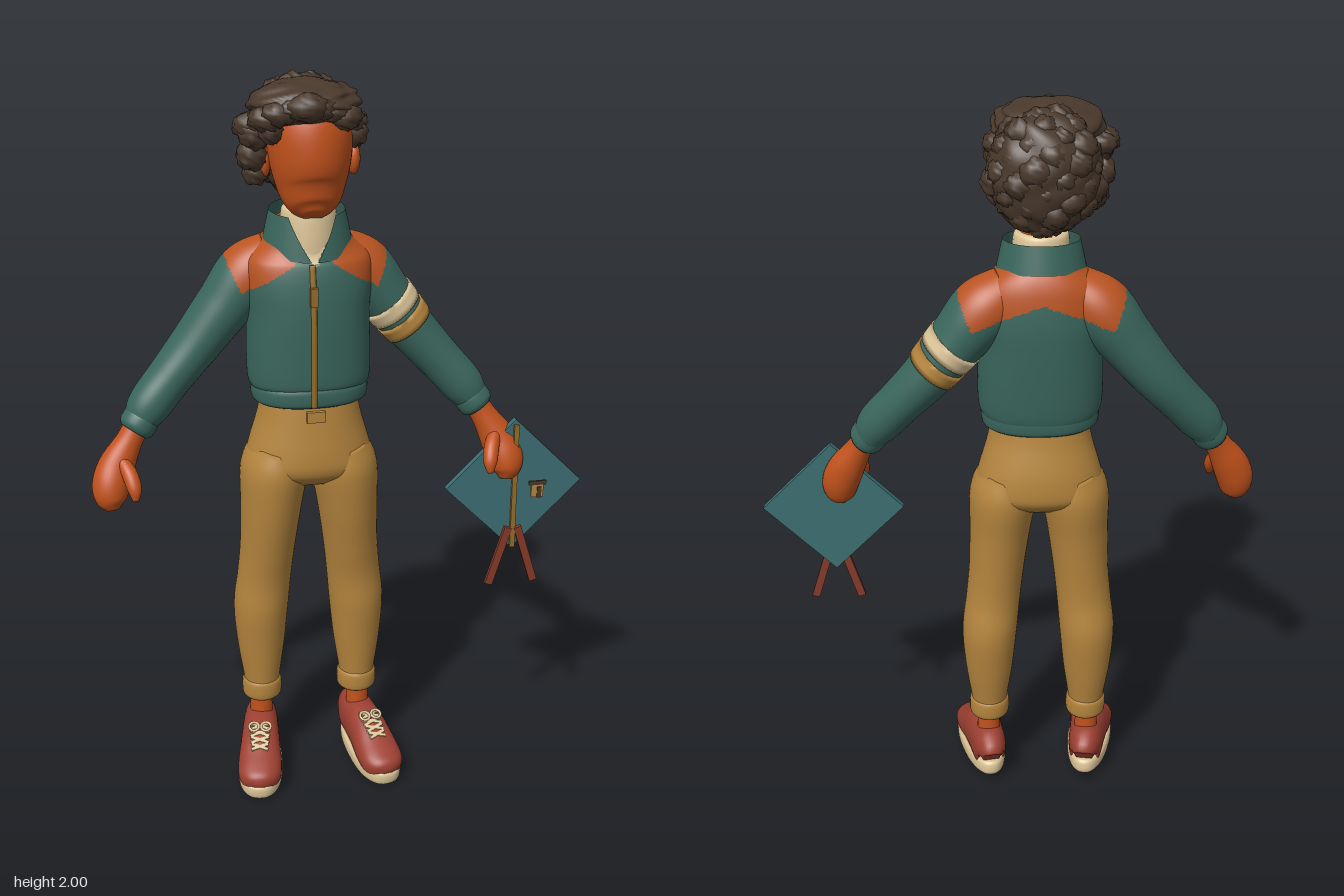
import * as THREE from 'three';
import { mergeVertices } from 'three/addons/utils/BufferGeometryUtils.js';

const material = (name, color, side = THREE.FrontSide) => Object.assign(new THREE.MeshStandardMaterial({ color, side }), { name });

export function createModel() {
  const teal = material('jacket teal', 0x3a665c, THREE.DoubleSide);
  const rust = material('yoke rust', 0xb95422);
  const skin = material('skin', 0xc2521c);
  const brown = material('hair brown', 0x4a392c);
  const tan = material('trouser tan', 0xb5853e);
  const cream = material('cream', 0xdcc598);
  const red = material('shoe red', 0x9e4032);
  const blue = material('board blue', 0x3d6f73);
  const gold = material('zip gold', 0x946c2c);
  const maroon = material('tail maroon', 0x853a2a);
  const Y = new THREE.Vector3(0, 1, 0), Z = new THREE.Vector3(0, 0, 1);

  const model = new THREE.Group();
  model.name = 'figure';
  const body = new THREE.Group();
  body.name = 'body';
  body.position.x = -0.085;
  model.add(body);

  const add = (name, geometry, mat, parent = body) => {
    const mesh = new THREE.Mesh(geometry, mat);
    mesh.name = name;
    parent.add(mesh);
    return mesh;
  };

  // Smooth skin through oval stations [x, y, z, radiusAcross, radiusDeep]
  function loft(stations, { ref = Z, along = 32, around = 32, pow = 2 } = {}) {
    const path = new THREE.CatmullRomCurve3(stations.map(s => new THREE.Vector3(s[0], s[1], s[2])), false, 'catmullrom');
    const size = new THREE.CatmullRomCurve3(stations.map(s => new THREE.Vector3(s[3], s[4], 0)), false, 'catmullrom');
    const pos = [], idx = [];
    const bend = v => Math.sign(v) * Math.abs(v) ** (2 / pow);
    for (let i = 0; i <= along; i++) {
      const t = i / along, c = path.getPoint(t), r = size.getPoint(t), T = path.getTangent(t);
      const across = T.clone().cross(ref).normalize(), deep = across.clone().cross(T);
      for (let j = 0; j < around; j++) {
        const a = j / around * Math.PI * 2;
        const p = c.clone().addScaledVector(across, bend(Math.cos(a)) * r.x).addScaledVector(deep, bend(Math.sin(a)) * r.y);
        pos.push(p.x, p.y, p.z);
        if (i === along) continue;
        const p0 = i * around + j, p1 = i * around + (j + 1) % around;
        idx.push(p0, p0 + around, p1, p1, p0 + around, p1 + around);
      }
    }
    const first = pos.length / 3, end = along * around;
    for (const s of [stations[0], stations.at(-1)]) pos.push(s[0], s[1], s[2]);
    for (let j = 0; j < around; j++) {
      const k = (j + 1) % around;
      idx.push(first, j, k, first + 1, end + k, end + j);
    }
    const g = new THREE.BufferGeometry();
    g.setAttribute('position', new THREE.Float32BufferAttribute(pos, 3));
    g.setIndex(idx);
    g.computeVertexNormals();
    return g;
  }

  // Sort faces into material groups by a rule on the face centre
  function paint(g, rule) {
    const p = g.attributes.position, src = g.index.array, bins = [[], [], []];
    for (let i = 0; i < src.length; i += 3) {
      const f = [src[i], src[i + 1], src[i + 2]];
      const mid = get => f.reduce((sum, v) => sum + get(v) / 3, 0);
      bins[rule(mid(v => p.getX(v)), mid(v => p.getY(v)), mid(v => p.getZ(v)))].push(...f);
    }
    g.setIndex(bins.flat());
    let start = 0;
    bins.forEach((b, m) => { g.addGroup(start, b.length, m); start += b.length; });
    return g;
  }
  const jacketColours = [teal, rust, cream];
  function jacketRule(x, y, z) {
    const d = Math.abs(x), front = z > -0.04;
    if (front && y > 1.52 && d < (y - 1.515) * 0.5) return 2;
    const low = 1.445 + (0.18 - Math.min(d, 0.18)) * (front ? 0.65 : 0.4);
    return y > low && d < 0.18 + (y - 1.44) * 0.42 && (!front || d > 0.05) ? 1 : 0;
  }

  // Jacket body, rib and zip
  add('jacketBody', paint(loft([
    [0, 1.17, -0.025, 0.15, 0.116], [0, 1.2, -0.027, 0.164, 0.125], [0, 1.28, -0.03, 0.166, 0.13],
    [0, 1.38, -0.033, 0.164, 0.133], [0, 1.46, -0.037, 0.172, 0.13], [0, 1.53, -0.04, 0.165, 0.118],
    [0, 1.58, -0.035, 0.115, 0.1], [0, 1.62, -0.03, 0.085, 0.085]], { along: 90, around: 120, pow: 2.3 }), jacketRule), jacketColours);
  add('jacketRib', loft([[0, 1.14, -0.025, 0.146, 0.112], [0, 1.15, -0.025, 0.156, 0.121],
    [0, 1.18, -0.025, 0.158, 0.123], [0, 1.195, -0.025, 0.15, 0.118]], { around: 64, along: 12, pow: 2.3 }), teal);
  add('zip', loft([[-0.006, 1.145, 0.096, 0.008, 0.007], [-0.006, 1.2, 0.099, 0.008, 0.006], [-0.006, 1.28, 0.101, 0.008, 0.006],
    [-0.006, 1.38, 0.101, 0.008, 0.006], [-0.006, 1.46, 0.094, 0.008, 0.006], [-0.006, 1.53, 0.08, 0.008, 0.006]], { around: 8 }), gold);
  add('zipPull', new THREE.BoxGeometry(0.02, 0.05, 0.012), gold).position.set(-0.006, 1.45, 0.103);

  // Standing collar, open at the front, over the high-necked jumper
  const collarPos = [], collarIdx = [], N = 64, M = 8;
  for (let i = 0; i <= M; i++) for (let j = 0; j <= N; j++) {
    const v = i / M, gap = 0.06 + 0.6 * v, a = gap + (2 * Math.PI - 2 * gap) * j / N, f = (1 + Math.cos(a)) / 2;
    const base = 1.59 - 0.055 * f, y = base + (1.662 - 0.015 * f - base) * v;
    collarPos.push(Math.sin(a) * (0.12 - 0.02 * v), y, -0.03 + Math.cos(a) * (0.112 - 0.018 * v));
    if (i < M && j < N) {
      const p = i * (N + 1) + j, q = p + N + 1;
      collarIdx.push(p, p + 1, q, p + 1, q + 1, q);
    }
  }
  const collar = new THREE.BufferGeometry();
  collar.setAttribute('position', new THREE.Float32BufferAttribute(collarPos, 3));
  collar.setIndex(collarIdx);
  collar.computeVertexNormals();
  add('collar', collar, teal);
  add('jumperNeck', loft([[0, 1.53, -0.01, 0.076, 0.078], [0, 1.6, -0.01, 0.076, 0.076],
    [0, 1.655, -0.01, 0.072, 0.07], [0, 1.668, -0.01, 0.062, 0.06]], { along: 16 }), cream);
  add('neck', new THREE.CylinderGeometry(0.055, 0.058, 0.14, 32), skin).position.set(0, 1.68, -0.005);

  // Head and ears
  add('head', loft([[0, 1.658, 0.075, 0.03, 0.028], [0, 1.68, 0.06, 0.066, 0.062], [0, 1.73, 0.035, 0.09, 0.1],
    [0, 1.8, 0.02, 0.106, 0.121], [0, 1.88, 0.01, 0.11, 0.12], [0, 1.95, 0, 0.085, 0.09]], { around: 48 }), skin);
  for (const s of [-1, 1]) {
    const ear = add('ear', new THREE.SphereGeometry(1, 20, 14), skin);
    ear.scale.set(0.018, 0.042, 0.028);
    ear.position.set(s * 0.116, 1.785, 0);
  }

  // Wavy hair: ridged lumps with curls along the fringe and the back
  function lump(name, x, y, z, rx, ry, rz, detail, amp, phase = 0) {
    const s = new THREE.SphereGeometry(1, detail, detail * 3 / 4);
    s.deleteAttribute('uv');
    s.deleteAttribute('normal');
    const g = mergeVertices(s, 1e-4), p = g.attributes.position;
    for (let i = 0; i < p.count; i++) {
      const [a, b, c] = [p.getX(i), p.getY(i), p.getZ(i)];
      const k = 1 + amp * Math.sin(7 * a + 3 * Math.sin(4 * b + phase) + phase) * Math.cos(6 * c - 4 * b + phase);
      p.setXYZ(i, a * k * rx, b * k * ry, c * k * rz);
    }
    g.computeVertexNormals();
    add(name, g, brown).position.set(x, y, z);
  }
  lump('hairBack', -0.005, 1.835, -0.07, 0.142, 0.155, 0.112, 64, 0.04);
  lump('hairTop', -0.015, 1.935, 0.025, 0.142, 0.06, 0.122, 64, 0.06, 1);
  for (let i = 0; i < 13; i++) {
    const a = (-1.7 + 3.4 * i / 12), r = 0.034 + 0.008 * Math.sin(i * 2.3);
    lump('fringeCurl', -0.025 + 0.125 * Math.sin(a), 1.94 - 0.055 * Math.sin(a) ** 2, 0.025 + 0.1 * Math.cos(a), r * 1.25, r * 0.85, r, 16, 0.15, i);
  }
  for (let i = 0; i < 60; i++) {
    const h = 1 - 2 * (i + 0.5) / 60, w = Math.sqrt(1 - h * h), a = i * 2.39996;
    const z = w * Math.sin(a);
    if (z > 0.25) continue;
    const r = 0.033 + 0.007 * Math.sin(i * 1.7);
    lump('backCurl', -0.005 + 0.118 * w * Math.cos(a), 1.835 + 0.13 * h, -0.07 + 0.088 * z, r * 1.1, r, r, 16, 0.15, i);
  }
  [[-0.145, 1.87, 0.045, 0.042], [-0.15, 1.81, 0.025, 0.038], [-0.135, 1.76, -0.01, 0.034], [-0.11, 1.88, 0.08, 0.034], [0.11, 1.86, 0.035, 0.036]]
    .forEach(([x, y, z, r], i) => lump('sideCurl', x, y, z, r, r * 1.05, r, 20, 0.14, i));

  // Trousers seat
  add('trouserSeat', loft([[0, 1.18, -0.03, 0.13, 0.1], [0, 1.1, -0.03, 0.14, 0.112], [0, 1.0, -0.035, 0.168, 0.128],
    [0, 0.94, -0.035, 0.178, 0.122], [0, 0.9, -0.035, 0.12, 0.075]], { around: 64, pow: 2.2 }), tan);
  add('waistTab', new THREE.BoxGeometry(0.05, 0.03, 0.012), tan).position.set(0, 1.115, 0.085);

  for (const s of [-1, 1]) {
    const side = s > 0 ? 'left' : 'right';
    const flip = list => list.map(([x, ...rest]) => [s * x, ...rest]);

    // Sleeve, cuff and hand
    add(side + 'Sleeve', paint(loft(flip([
      [0.08, 1.53, -0.06, 0.065, 0.07], [0.15, 1.475, -0.07, 0.085, 0.088], [0.22, 1.39, -0.07, 0.075, 0.085],
      [0.3, 1.29, -0.065, 0.066, 0.079], [0.37, 1.21, -0.05, 0.06, 0.07], [0.43, 1.14, -0.032, 0.058, 0.061],
      [0.458, 1.1, -0.024, 0.046, 0.05]]), { along: 90, around: 72 }), (x, y, z) => jacketRule(x, y, z) === 1 ? 1 : 0), jacketColours);
    add(side + 'Cuff', loft(flip([[0.444, 1.118, -0.026, 0.042, 0.046], [0.452, 1.108, -0.024, 0.049, 0.052],
      [0.468, 1.085, -0.018, 0.049, 0.051], [0.476, 1.074, -0.015, 0.04, 0.042]]), { along: 12 }), teal);
    add(side + 'Hand', loft(flip([[0.46, 1.1, -0.02, 0.034, 0.036], [0.49, 1.05, -0.008, 0.036, 0.036],
      [0.525, 0.99, 0.005, 0.049, 0.044], [0.545, 0.94, 0.02, 0.051, 0.05], [0.548, 0.9, 0.032, 0.042, 0.044],
      [0.545, 0.874, 0.04, 0.018, 0.022]])), skin);
    add(side + 'Thumb', loft(flip([[0.515, 1.01, 0.02, 0.016, 0.018], [0.497, 0.98, 0.055, 0.021, 0.021],
      [0.487, 0.945, 0.08, 0.019, 0.019], [0.486, 0.915, 0.09, 0.008, 0.008]]), { along: 16, around: 20 }), skin);

    // Trouser leg, rolled hem and ankle
    add(side + 'TrouserLeg', loft(flip([[0.085, 1.0, -0.035, 0.075, 0.11], [0.098, 0.93, -0.035, 0.092, 0.121],
      [0.108, 0.82, -0.035, 0.084, 0.107], [0.118, 0.7, -0.042, 0.077, 0.09], [0.128, 0.6, -0.05, 0.076, 0.08],
      [0.138, 0.5, -0.058, 0.077, 0.085], [0.14, 0.38, -0.058, 0.067, 0.071], [0.14, 0.27, -0.055, 0.051, 0.055],
      [0.14, 0.23, -0.055, 0.049, 0.052]]), { along: 48, around: 40 }), tan);
    add(side + 'Hem', loft(flip([[0.14, 0.272, -0.055, 0.048, 0.052], [0.14, 0.26, -0.055, 0.056, 0.059],
      [0.14, 0.222, -0.055, 0.056, 0.058], [0.14, 0.21, -0.055, 0.048, 0.05]]), { along: 12 }), tan);
    add(side + 'Ankle', new THREE.CylinderGeometry(0.03, 0.034, 0.13, 24), skin).position.set(s * 0.143, 0.175, -0.055);

    // Shoe: toe turned out, heel slightly raised
    const shoe = new THREE.Group();
    shoe.name = side + 'Shoe';
    shoe.position.set(s * 0.16, 0.013, 0.028);
    shoe.rotation.set(0.08, s * 0.17, 0, 'YXZ');
    body.add(shoe);
    const sole = loft([[0, 0, 0, 0.054, 0.15], [0, 0.012, 0, 0.062, 0.159], [0, 0.036, 0, 0.062, 0.159], [0, 0.046, 0, 0.055, 0.151]],
      { along: 12, around: 48, pow: 2.4 });
    const p = sole.attributes.position;
    for (let i = 0; i < p.count; i++) p.setX(i, p.getX(i) * (1 + 0.9 * p.getZ(i)));
    sole.computeVertexNormals();
    add('sole', sole, cream, shoe);
    add('upper', loft([[0, 0.06, -0.152, 0.025, 0.035], [0, 0.076, -0.132, 0.046, 0.066], [0, 0.08, -0.06, 0.053, 0.066],
      [0, 0.075, 0, 0.057, 0.06], [0, 0.06, 0.06, 0.062, 0.05], [0, 0.05, 0.11, 0.06, 0.041], [0, 0.045, 0.14, 0.042, 0.032],
      [0, 0.042, 0.154, 0.012, 0.012]], { ref: Y, pow: 2.3 }), red, shoe);
    for (let i = 0; i < 4; i++) for (const tilt of [-0.35, 0.35]) {
      const lace = add('lace', new THREE.BoxGeometry(0.062 - i * 0.004, 0.008, 0.009), cream, shoe);
      lace.position.set(0, 0.138 - i * 0.0085, -0.002 + i * 0.021);
      lace.rotation.set(0.4, tilt, 0);
    }
    for (const b of [-1, 1]) {
      const bow = add('bow', new THREE.TorusGeometry(0.014, 0.004, 8, 16), cream, shoe);
      bow.position.set(b * 0.017, 0.143, 0.004);
      bow.rotation.x = -1.2;
    }
  }

  // Two raised stripes on the left sleeve
  add('creamStripe', loft([[0.222, 1.388, -0.07, 0.078, 0.088], [0.25, 1.353, -0.069, 0.076, 0.086]], { along: 4, around: 48 }), cream);
  add('tanStripe', loft([[0.258, 1.343, -0.068, 0.075, 0.086], [0.285, 1.309, -0.066, 0.072, 0.084]], { along: 4, around: 48 }), tan);

  // Diamond board with spine and two tails, held in the left hand
  const board = new THREE.Group();
  board.name = 'diamondBoard';
  board.position.set(0.485, 0.853, 0.03);
  model.add(board);
  add('panel', new THREE.BoxGeometry(0.276, 0.276, 0.02), blue, board).rotation.z = Math.PI / 4;
  add('spine', new THREE.BoxGeometry(0.014, 0.37, 0.012), gold, board).position.set(0, -0.005, 0.014);
  for (const s of [-1, 1]) {
    const tail = add('tail', new THREE.BoxGeometry(0.022, 0.18, 0.012), maroon, board);
    tail.position.set(s * 0.04, -0.215, 0.016);
    tail.rotation.z = s * 0.3;
  }
  // Small patch set just ahead of the panel
  add('patch', new THREE.BoxGeometry(0.035, 0.04, 0.006), tan, board).position.set(0.063, -0.015, 0.028);
  add('patchTop', new THREE.BoxGeometry(0.05, 0.012, 0.006), brown, board).position.set(0.063, 0.008, 0.029);
  add('patchSide', new THREE.BoxGeometry(0.012, 0.032, 0.006), brown, board).position.set(0.068, -0.02, 0.031);
  return model;
}
